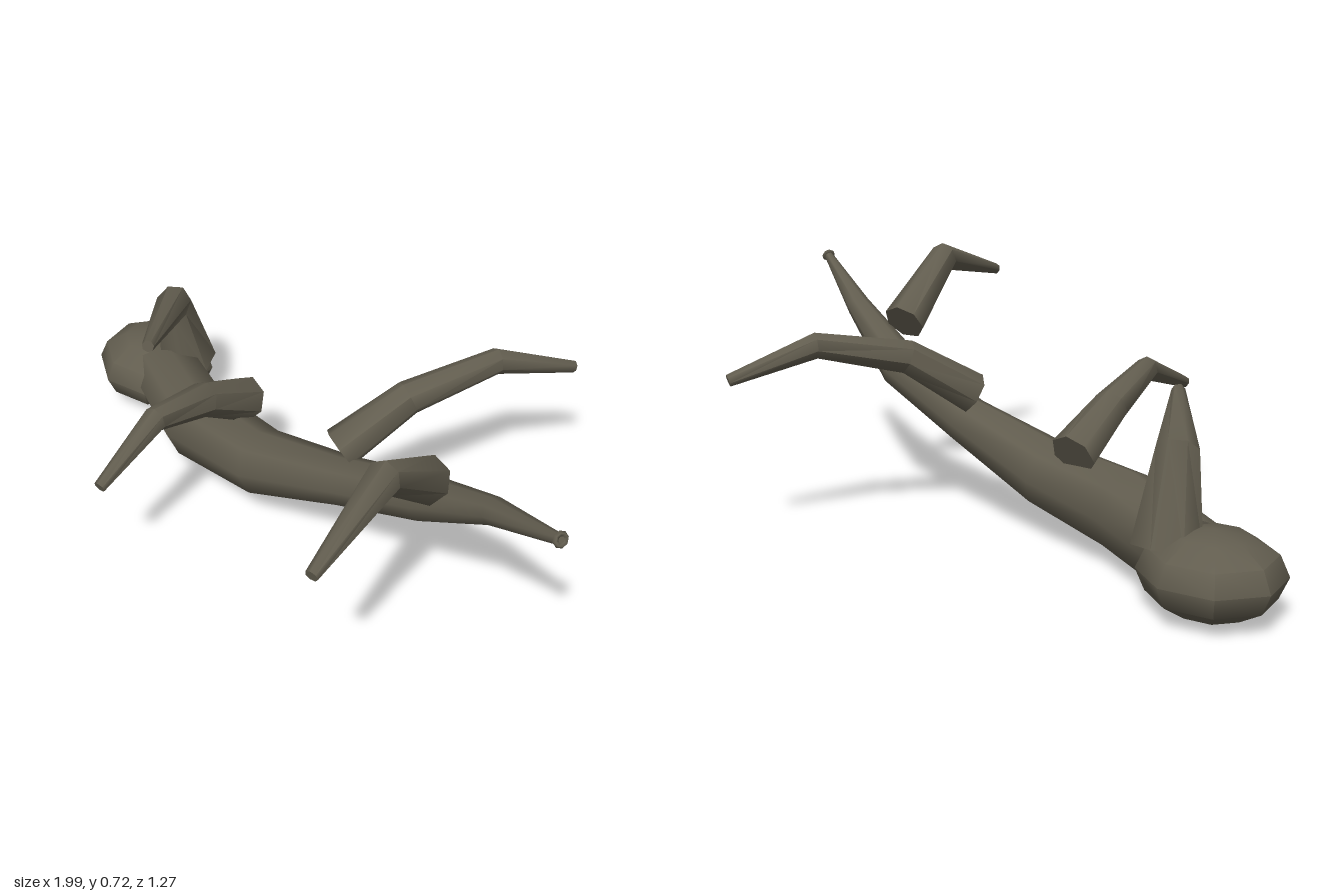
import * as THREE from 'three';
import { toCreasedNormals } from 'three/addons/utils/BufferGeometryUtils.js';

// Capped tapered limb through stations [x, y, z, radius], mitred at the bends
function limb(stations, sides) {
  const pts = stations.map(s => new THREE.Vector3(s[0], s[1], s[2]));
  const last = pts.length - 1;
  const dir = i => pts[i + 1].clone().sub(pts[i]).normalize();
  const pos = [], index = [];
  let normal = new THREE.Vector3(0, 1, 0);
  for (let i = 0; i <= last; i++) {
    const into = dir(Math.max(i - 1, 0)), out = dir(Math.min(i, last - 1));
    const t = into.clone().add(out).normalize();
    normal = normal.clone().addScaledVector(t, -normal.dot(t)).normalize();
    const side = t.clone().cross(normal);
    for (let k = 0; k < sides; k++) {
      const a = k / sides * Math.PI * 2, r = stations[i][3];
      const p = pts[i].clone()
        .addScaledVector(normal, Math.cos(a) * r)
        .addScaledVector(side, Math.sin(a) * r);
      pos.push(p.x, p.y, p.z);
    }
  }
  const startCentre = pos.length / 3;
  pos.push(...pts[0].toArray(), ...pts[last].toArray());
  for (let k = 0; k < sides; k++) {
    const n = (k + 1) % sides;
    for (let i = 0; i < last; i++) {
      const a = i * sides + k, b = i * sides + n;
      index.push(a, b, a + sides, b, b + sides, a + sides);
    }
    index.push(startCentre, n, k);
    index.push(startCentre + 1, last * sides + k, last * sides + n);
  }
  const g = new THREE.BufferGeometry();
  g.setAttribute('position', new THREE.Float32BufferAttribute(pos, 3));
  g.setIndex(index);
  return toCreasedNormals(g, 0.9);
}

export function createModel() {
  const group = new THREE.Group();
  const bark = new THREE.MeshStandardMaterial({ color: 0x625d4f });
  bark.name = 'bark';
  const add = (name, geometry) => {
    const mesh = new THREE.Mesh(geometry, bark);
    mesh.name = name;
    group.add(mesh);
    return mesh;
  };

  // Curved trunk, thick at the left and thin at the raised end
  add('trunk', limb([
    [-0.74, 0.125, 0.05, 0.105],
    [-0.42, 0.145, 0.128, 0.112],
    [-0.12, 0.18, 0.105, 0.097],
    [0.18, 0.28, 0.043, 0.07],
    [0.46, 0.39, 0.0, 0.063],
    [0.72, 0.535, 0.016, 0.036],
    [0.98, 0.658, 0.065, 0.013],
  ], 8));

  // Faceted root knob
  const knob = add('rootKnob', toCreasedNormals(new THREE.SphereGeometry(1, 8, 6), 0.8));
  knob.scale.set(0.19, 0.11, 0.176);
  knob.position.set(-0.81, 0.113, 0.045);

  // Small ring at the trunk tip
  const ring = add('tipRing', new THREE.TorusGeometry(0.014, 0.007, 5, 8));
  ring.position.set(0.977, 0.657, 0.064);
  ring.lookAt(1.237, 0.78, 0.113);

  // Bent side branches
  const branches = [
    [[-0.71, 0.16, -0.01, 0.09], [-0.692, 0.39, 0.035, 0.054], [-0.45, 0.457, 0.265, 0.018]],
    [[-0.285, 0.28, 0.05, 0.066], [-0.24, 0.378, 0.22, 0.05],
      [-0.165, 0.441, 0.415, 0.035], [-0.095, 0.36, 0.63, 0.017]],
    [[0.145, 0.365, 0.035, 0.06], [0.2, 0.485, -0.15, 0.048],
      [0.265, 0.537, -0.4, 0.036], [0.33, 0.46, -0.63, 0.017]],
    [[0.515, 0.51, 0.05, 0.064], [0.605, 0.678, 0.26, 0.045], [0.705, 0.603, 0.535, 0.017]],
  ];
  branches.forEach((b, i) => add('branch' + (i + 1), limb(b, 7)));

  return group;
}
